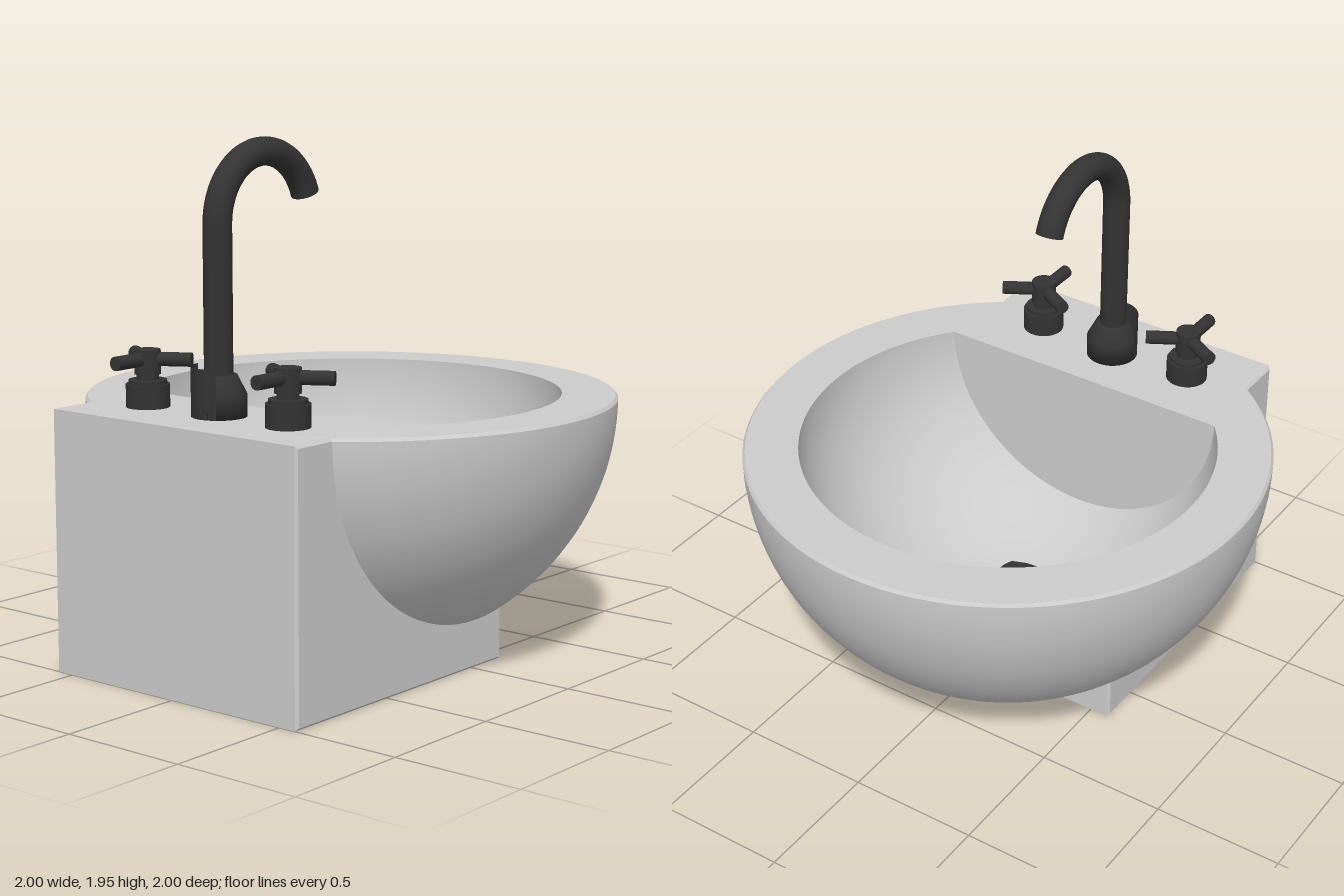
import * as THREE from 'three';

const TOP = 0.98;      // height of the deck
const BOWL = 0.79;     // inner bowl radius
const WALL = 0.51;     // z of the flat bowl wall

export function createModel() {
  const model = new THREE.Group();
  const ceramic = new THREE.MeshStandardMaterial({ color: 0xcccccc });
  const ceramicThin = new THREE.MeshStandardMaterial({ color: 0xcccccc, side: THREE.DoubleSide });
  const metal = new THREE.MeshStandardMaterial({ color: 0x333333, side: THREE.DoubleSide });

  const add = (parent, name, geometry, material, x = 0, y = 0, z = 0) => {
    const mesh = new THREE.Mesh(geometry, material);
    mesh.name = name;
    mesh.position.set(x, y, z);
    parent.add(mesh);
    return mesh;
  };

  // Outer half-sphere
  const outer = new THREE.SphereGeometry(1, 96, 40, 0, Math.PI * 2, Math.PI / 2, Math.PI / 2);
  outer.scale(1, 0.965, 1);
  add(model, 'outerBowl', outer, ceramicThin, 0, TOP - 0.012, 0);

  // Chamfered edge around the rim
  add(model, 'rimEdge', new THREE.CylinderGeometry(0.99, 1, 0.012, 96, 1, true), ceramicThin, 0, TOP - 0.006, 0);

  // Flat rim with a round opening cut straight at the tap deck
  const rim = new THREE.Shape().absarc(0, 0, 0.99, 0, Math.PI * 2);
  const a = Math.asin(-WALL / BOWL);
  const opening = new THREE.Path().absarc(0, 0, BOWL, a, Math.PI - a, false);
  opening.closePath();
  rim.holes.push(opening);
  const rimGeometry = new THREE.ShapeGeometry(rim, 96);
  rimGeometry.rotateX(-Math.PI / 2);
  add(model, 'rim', rimGeometry, ceramicThin, 0, TOP, 0);

  // Inner bowl: half-sphere whose rings run along z, stopped at the flat wall
  const start = Math.acos(WALL / BOWL);
  const inner = new THREE.SphereGeometry(BOWL, 48, 64, 0, Math.PI, start, Math.PI - start);
  inner.rotateX(Math.PI / 2);
  inner.scale(1, 0.98, 1);
  add(model, 'innerBowl', inner, ceramicThin, 0, TOP, 0);
  const wall = new THREE.CircleGeometry(Math.sqrt(BOWL * BOWL - WALL * WALL), 48, Math.PI, Math.PI);
  wall.scale(1, 0.98, 1);
  add(model, 'bowlWall', wall, ceramicThin, 0, TOP, WALL);

  // Support block: side profile with the bowl scooped out of it
  const profile = new THREE.Shape();
  profile.moveTo(1, 0);
  profile.lineTo(1, TOP - 0.001);
  for (let i = 0; i <= 48; i++) {
    const t = i / 48 * (Math.PI / 2 + Math.asin(0.17 / 0.8));
    profile.lineTo(0.8 * Math.cos(t), TOP - 0.001 - 0.785 * Math.sin(t));
  }
  profile.lineTo(-0.17, 0);
  profile.closePath();
  const block = new THREE.ExtrudeGeometry(profile, {
    depth: 1.14, bevelEnabled: true, bevelThickness: 0.01, bevelSize: 0.01, bevelOffset: -0.01, bevelSegments: 1,
  });
  block.translate(0, 0, -0.57);
  block.rotateY(-Math.PI / 2);
  add(model, 'supportBlock', block, ceramic);

  // Drain
  add(model, 'drain', new THREE.CylinderGeometry(0.11, 0.11, 0.055, 40), metal, 0.01, 0.207, 0.13);

  // Tap: stepped base, partial collar and gooseneck spout
  const tap = new THREE.Group();
  tap.name = 'tap';
  model.add(tap);
  const base = [[0, 0], [0.1, 0], [0.1, 0.08], [0.065, 0.15], [0.05, 0.15]].map(p => new THREE.Vector2(...p));
  add(tap, 'tapBase', new THREE.LatheGeometry(base, 40), metal, -0.005, TOP, 0.735);
  add(tap, 'tapCollar', new THREE.CylinderGeometry(0.1, 0.1, 0.18, 24, 1, true, -Math.PI / 2, 2.2),
    metal, -0.005, TOP + 0.09, 0.735);

  const neck = new THREE.CurvePath();
  const points = [];
  for (let i = 0; i <= 24; i++) {
    const t = i / 24 * 2.81;
    points.push(new THREE.Vector3(0, 1.66 + 0.243 * Math.sin(t), 0.49 + 0.243 * Math.cos(t)));
  }
  neck.add(new THREE.LineCurve3(new THREE.Vector3(0, TOP, 0.733), points[0]));
  neck.add(new THREE.CatmullRomCurve3(points));
  add(tap, 'spout', new THREE.TubeGeometry(neck, 80, 0.052, 24), metal, -0.008, 0, 0);
  const tip = add(tap, 'spoutEnd', new THREE.CircleGeometry(0.052, 24), metal, -0.008, points[24].y, points[24].z);
  tip.lookAt(tip.position.clone().add(neck.getTangent(1)));

  // Three-spoke handles either side
  for (const [name, x] of [['rightHandle', -0.34], ['leftHandle', 0.33]]) {
    const handle = new THREE.Group();
    handle.name = name;
    handle.position.set(x, TOP, 0.75);
    model.add(handle);
    for (const [part, r, y0, y1] of [['handleBase', 0.08, 0, 0.085], ['handleStep', 0.07, 0.085, 0.1],
      ['handleNeck', 0.04, 0.1, 0.125], ['handleHub', 0.048, 0.12, 0.21]]) {
      add(handle, part, new THREE.CylinderGeometry(r, r, y1 - y0, 32), metal, 0, (y0 + y1) / 2, 0);
    }
    for (let i = 0; i < 3; i++) {
      const spoke = new THREE.CylinderGeometry(0.026, 0.026, 0.165, 20);
      spoke.rotateX(Math.PI / 2);
      spoke.translate(0, 0, 0.0825);
      spoke.rotateY(i * Math.PI * 2 / 3);
      add(handle, 'handleSpoke', spoke, metal, 0, 0.175, 0);
    }
  }

  return model;
}
